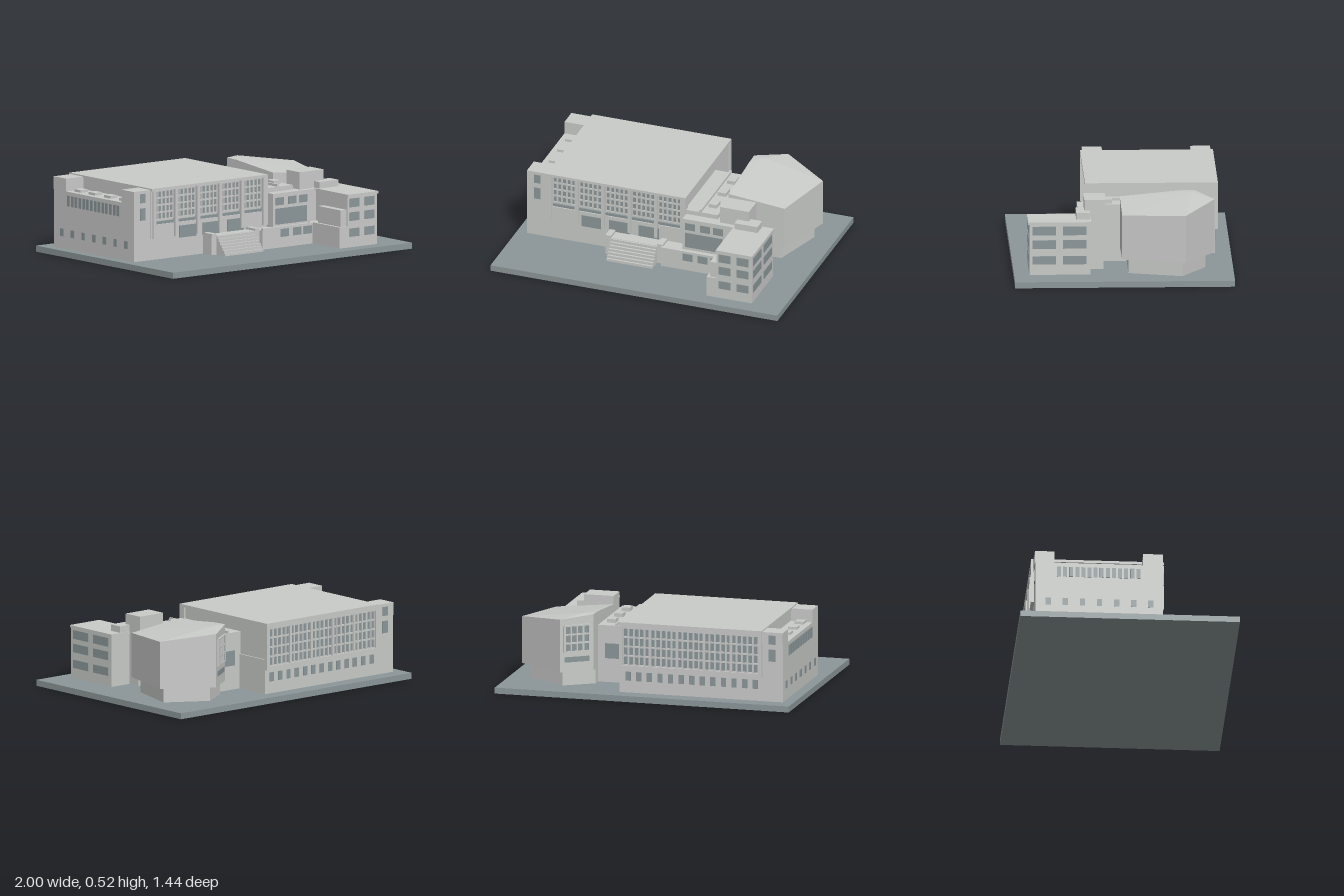
import * as THREE from 'three';

const wall = new THREE.MeshStandardMaterial({ color: 0xc9cbc9, flatShading: true });
wall.name = 'paleConcrete';
const glass = new THREE.MeshStandardMaterial({ color: 0x8c9799, flatShading: true });
glass.name = 'slateGrey';

// Box given by its two extreme corners
function block(parent, name, x0, x1, y0, y1, z0, z1, mat = wall) {
  const m = new THREE.Mesh(new THREE.BoxGeometry(x1 - x0, y1 - y0, z1 - z0), mat);
  m.position.set((x0 + x1) / 2, (y0 + y1) / 2, (z0 + z1) / 2);
  m.name = name;
  parent.add(m);
  return m;
}

// Thin part on a wall: axis is 'z' or 'x', side is the outward sign
function plate(parent, name, axis, side, at, u0, u1, y0, y1, mat = glass, depth = 0.004) {
  const a = Math.min(at, at + side * depth), b = Math.max(at, at + side * depth);
  return axis === 'z'
    ? block(parent, name, u0, u1, y0, y1, a, b, mat)
    : block(parent, name, a, b, y0, y1, u0, u1, mat);
}

// Glazed bay with a lattice of bars
function bay(parent, axis, side, at, u0, u1, y0, y1, cols, rows, t = 0.011) {
  const g = new THREE.Group();
  g.name = 'glazedBay';
  parent.add(g);
  plate(g, 'bayGlass', axis, side, at, u0, u1, y0, y1);
  for (let i = 0; i <= cols; i++) {
    const u = u0 + (u1 - u0) * i / cols;
    plate(g, 'mullion', axis, side, at, u - t / 2, u + t / 2, y0, y1, wall, 0.012);
  }
  for (let j = 0; j <= rows; j++) {
    const y = y0 + (y1 - y0) * j / rows;
    plate(g, 'transom', axis, side, at, u0, u1, y - t / 2, y + t / 2, wall, 0.011);
  }
}

// Hall with a deep front colonnade and a framed rear window wall
function buildHall(root) {
  const g = new THREE.Group();
  g.name = 'mainHall';
  root.add(g);
  block(g, 'hallLower', -0.79, 0.18, 0.04, 0.27, -0.615, 0.22);
  block(g, 'hallUpper', -0.78, 0.17, 0.27, 0.5, -0.615, 0.2);
  block(g, 'hallRoof', -0.79, 0.18, 0.495, 0.513, -0.635, 0.235);
  plate(g, 'sillBand', 'z', 1, 0.2, -0.75, 0.16, 0.27, 0.288, glass, 0.012);
  const pitch = 0.184;
  for (let i = 0; i <= 5; i++) {
    const x = -0.765 + pitch * i;
    block(g, 'frontColumn', x - 0.011, x + 0.011, 0.18, 0.5, 0.19, 0.235);
    if (i < 5) bay(g, 'z', 1, 0.2, x + 0.012, x + pitch - 0.012, 0.3, 0.49, 5, 4);
  }
  block(g, 'cornerPier', -0.79, -0.77, 0.18, 0.5, 0.19, 0.225);
  block(g, 'cornerPier', 0.16, 0.18, 0.18, 0.5, 0.19, 0.235);
  for (const x of [-0.55, -0.355, -0.15]) plate(g, 'lobbyWindow', 'z', 1, 0.22, x, x + 0.14, 0.165, 0.245);
  // Rear frame and its bays
  block(g, 'rearFrameSill', -0.79, 0.18, 0.2, 0.225, -0.635, -0.61);
  block(g, 'rearFrameHead', -0.79, 0.18, 0.475, 0.5, -0.635, -0.61);
  for (const x of [-0.79, 0.155]) block(g, 'rearFrameSide', x, x + 0.025, 0.2, 0.5, -0.635, -0.61);
  for (let i = 0; i < 5; i++) {
    const x = -0.765 + pitch * i;
    bay(g, 'z', -1, -0.615, x, x + pitch, 0.225, 0.475, 5, 4);
    if (i) block(g, 'rearPier', x - 0.009, x + 0.009, 0.225, 0.475, -0.633, -0.61);
  }
  for (let i = 0; i < 13; i++) {
    const x = -0.76 + i * 0.072;
    plate(g, 'rearLowWindow', 'z', -1, -0.615, x, x + 0.035, 0.12, 0.18);
  }
}

// Side wing with a tower at each end and skylights between
function buildWing(root) {
  const g = new THREE.Group();
  g.name = 'sideWing';
  root.add(g);
  block(g, 'wingBody', -0.93, -0.78, 0.04, 0.42, -0.615, 0.22);
  block(g, 'frontTower', -0.93, -0.785, 0.42, 0.505, 0.09, 0.22);
  block(g, 'rearTower', -0.93, -0.785, 0.42, 0.505, -0.62, -0.49);
  for (const z of [-0.42, -0.27, -0.11, 0.05])
    block(g, 'skylight', -0.89, -0.83, 0.42, 0.437, z - 0.033, z + 0.033);
  for (const [side, z] of [[1, 0.22], [-1, -0.615]]) {
    plate(g, 'towerWindow', 'z', side, z, -0.88, -0.835, 0.31, 0.39, glass, 0.006);
    plate(g, 'towerWindow', 'z', side, side > 0 ? z : -0.62, -0.88, -0.835, 0.425, 0.485);
  }
  for (let i = 0; i < 14; i++) {
    const z = -0.475 + i * 0.04;
    plate(g, 'highWindow', 'x', -1, -0.93, z, z + 0.026, 0.325, 0.395);
  }
  for (let i = 0; i < 7; i++) {
    const z = -0.55 + i * 0.112;
    plate(g, 'lowWindow', 'x', -1, -0.93, z, z + 0.035, 0.12, 0.17);
  }
}

// Entrance terrace and stairs
function buildTerrace(root) {
  const g = new THREE.Group();
  g.name = 'entranceTerrace';
  root.add(g);
  block(g, 'terrace', -0.35, 0.05, 0.04, 0.165, 0.2, 0.31);
  block(g, 'terraceExtension', 0.05, 0.48, 0.04, 0.165, 0.2, 0.34);
  block(g, 'terraceEdge', 0.05, 0.48, 0.165, 0.18, 0.325, 0.346);
  for (const [a, b] of [[-0.35, -0.31], [0.01, 0.05]]) block(g, 'terraceEdge', a, b, 0.165, 0.18, 0.22, 0.312);
  const n = 7;
  for (let i = 0; i < n; i++)
    block(g, 'step', -0.31, 0.01, 0.04, 0.04 + (n - i) * 0.0175, 0.3, 0.32 + i * 0.0135);
  for (const x of [0.2, 0.305, 0.395]) plate(g, 'basementWindow', 'z', 1, 0.34, x, x + 0.068, 0.11, 0.162);
}

// Corridor block joining hall, annex and auditorium
function buildLink(root) {
  const g = new THREE.Group();
  g.name = 'linkBlock';
  root.add(g);
  block(g, 'corridor', 0.17, 0.4, 0.04, 0.42, -0.36, 0.22);
  block(g, 'corridorUpstand', 0.27, 0.285, 0.42, 0.437, -0.36, 0.22);
  for (const z of [-0.245, -0.072, 0.1])
    block(g, 'skylight', 0.305, 0.363, 0.42, 0.445, z - 0.037, z + 0.037);
  block(g, 'linkFront', 0.18, 0.55, 0.04, 0.39, 0.13, 0.29);
  block(g, 'linkRear', 0.4, 0.63, 0.04, 0.39, 0.13, 0.25);
  block(g, 'roofHouse', 0.43, 0.63, 0.38, 0.505, 0.115, 0.255);
  block(g, 'lowRoofHouse', 0.55, 0.71, 0.38, 0.435, 0.22, 0.31);
  plate(g, 'largeWindow', 'z', 1, 0.29, 0.2, 0.46, 0.185, 0.29);
  for (const x of [0.2, 0.305, 0.395]) plate(g, 'upperWindow', 'z', 1, 0.29, x, x + 0.068, 0.312, 0.362);
  plate(g, 'rearWindow', 'z', -1, -0.36, 0.22, 0.35, 0.2, 0.3);
}

// Projecting front annex
function buildAnnex(root) {
  const g = new THREE.Group();
  g.name = 'frontAnnex';
  root.add(g);
  block(g, 'annexBody', 0.54, 0.785, 0.04, 0.375, 0.22, 0.62);
  block(g, 'annexRoof', 0.535, 0.79, 0.375, 0.392, 0.215, 0.628);
  block(g, 'annexLowSide', 0.47, 0.54, 0.04, 0.18, 0.29, 0.62);
  block(g, 'annexPorch', 0.49, 0.54, 0.18, 0.29, 0.37, 0.61);
  for (const [y0, y1] of [[0.11, 0.165], [0.215, 0.272], [0.305, 0.363]]) {
    for (const x of [0.555, 0.68]) plate(g, 'frontWindow', 'z', 1, 0.62, x, x + 0.083, y0, y1);
    for (const z of [0.247, 0.447]) plate(g, 'sideWindow', 'x', 1, 0.785, z, z + 0.153, y0, y1);
  }
}

// Five-sided auditorium with a folded roof on a smaller plinth
function buildAuditorium(root) {
  const g = new THREE.Group();
  g.name = 'auditorium';
  root.add(g);
  const rim = [[0.4, 0.475, 0.015], [0.79, 0.435, 0.012], [0.905, 0.455, -0.4],
    [0.59, 0.495, -0.6], [0.4, 0.515, -0.47], [0.4, 0.512, -0.37]];
  const peak = [0.47, 0.517, -0.46];
  const low = rim.map(([x, , z]) => [x, 0.14, z]);
  const pos = [];
  const tri = (a, b, c) => pos.push(...a, ...b, ...c);
  rim.forEach((p, i) => {
    const j = (i + 1) % rim.length;
    tri(low[i], low[j], rim[j]);
    tri(low[i], rim[j], p);
    tri(p, rim[j], peak);
    if (i > 0 && i < rim.length - 1) tri(low[0], low[j], low[i]);
  });
  const geo = new THREE.BufferGeometry();
  geo.setAttribute('position', new THREE.Float32BufferAttribute(pos, 3));
  geo.computeVertexNormals();
  const shell = new THREE.Mesh(geo, wall);
  shell.name = 'auditoriumShell';
  g.add(shell);

  const plan = new THREE.Shape([[0.4, 0.03], [0.75, 0.03], [0.855, 0.38], [0.59, 0.54], [0.4, 0.42]]
    .map(([x, y]) => new THREE.Vector2(x, y)));
  const plinth = new THREE.Mesh(new THREE.ExtrudeGeometry(plan, { depth: 0.1, bevelEnabled: false }), wall);
  plinth.rotation.x = -Math.PI / 2;
  plinth.position.y = 0.04;
  plinth.name = 'auditoriumPlinth';
  g.add(plinth);

  // Window on the slanted rear wall
  const win = new THREE.Group();
  win.name = 'auditoriumWindow';
  win.position.set(0.495, 0, -0.535);
  win.rotation.y = Math.atan2(-0.13, -0.19);
  g.add(win);
  bay(win, 'z', 1, 0, -0.085, 0.085, 0.275, 0.45, 4, 3);
  plate(win, 'lowerSlot', 'z', 1, 0, -0.085, 0.085, 0.205, 0.24);
}

export function createModel() {
  const root = new THREE.Group();
  root.name = 'civicBuilding';
  block(root, 'groundSlab', -1, 1, 0, 0.04, -0.72, 0.72, glass);
  buildHall(root);
  buildWing(root);
  buildTerrace(root);
  buildLink(root);
  buildAnnex(root);
  buildAuditorium(root);
  return root;
}
